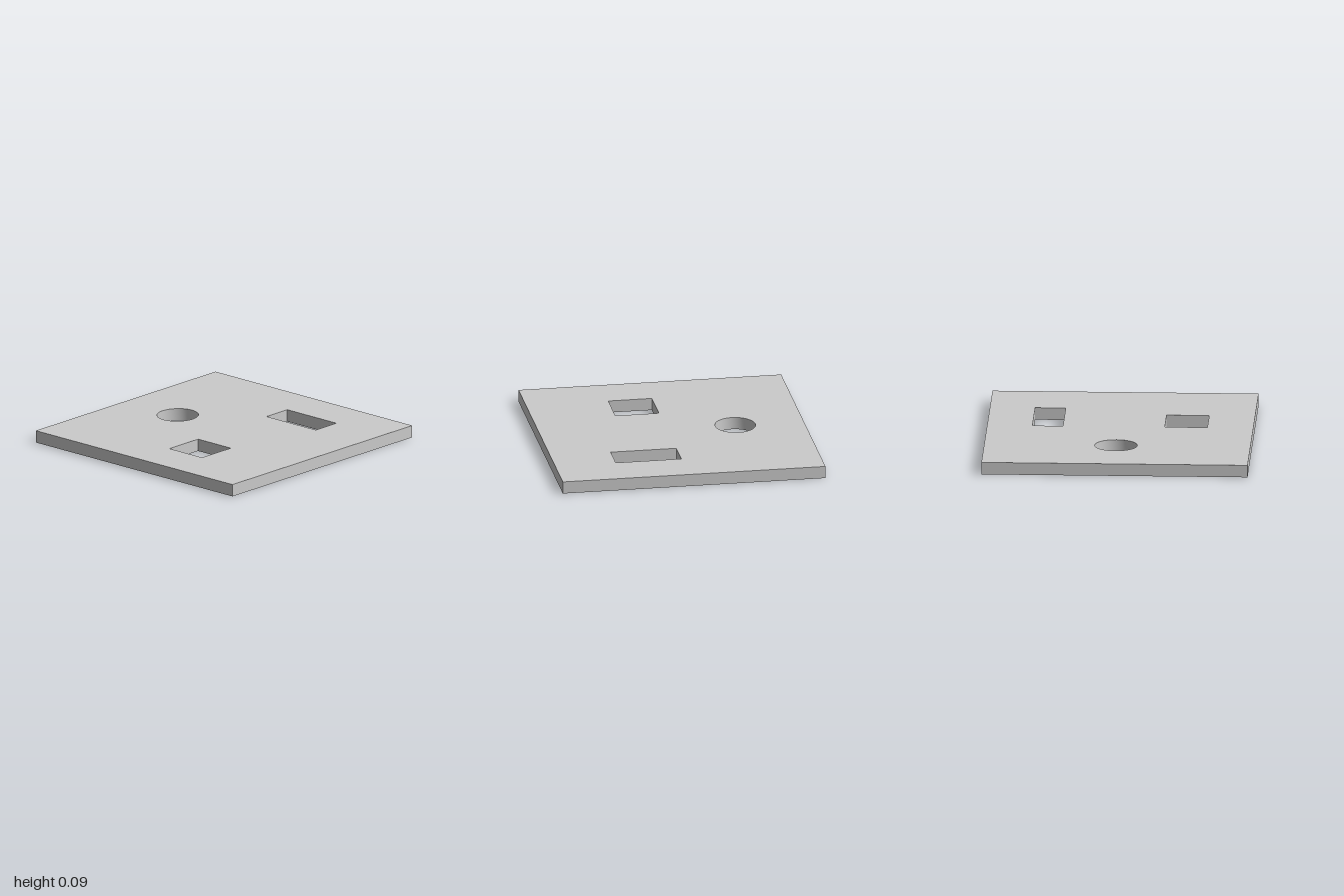
import * as THREE from 'three';
import { toCreasedNormals } from 'three/addons/utils/BufferGeometryUtils.js';

const THICKNESS = 0.093;

// Closed rectangular outline from x and z ranges (shape y is -z)
function rectangle(PathType, x0, x1, z0, z1) {
  return new PathType([[x0, z1], [x1, z1], [x1, z0], [x0, z0]]
    .map(([x, z]) => new THREE.Vector2(x, -z)));
}

export function createModel() {
  const group = new THREE.Group();
  group.name = 'perforatedPlate';

  // Square plate outline
  const outline = rectangle(THREE.Shape, -1, 1, -1, 1);

  // Round opening, slightly longer in z
  const roundHole = new THREE.Path();
  roundHole.absellipse(-0.48, 0.01, 0.153, 0.16, 0, Math.PI * 2, true);

  // Long slot at the back, near-square opening at the front
  outline.holes.push(
    roundHole,
    rectangle(THREE.Path, 0.04, 0.54, -0.66, -0.43),
    rectangle(THREE.Path, 0.043, 0.375, 0.335, 0.655),
  );

  const geometry = new THREE.ExtrudeGeometry(outline, {
    depth: THICKNESS, bevelEnabled: false, curveSegments: 24,
  });
  geometry.rotateX(-Math.PI / 2);

  // Smooth round wall, sharp edges elsewhere
  const plate = new THREE.Mesh(
    toCreasedNormals(geometry, Math.PI / 6),
    new THREE.MeshStandardMaterial({ color: 0xcccccc }),
  );
  plate.name = 'plate';
  group.add(plate);
  return group;
}
